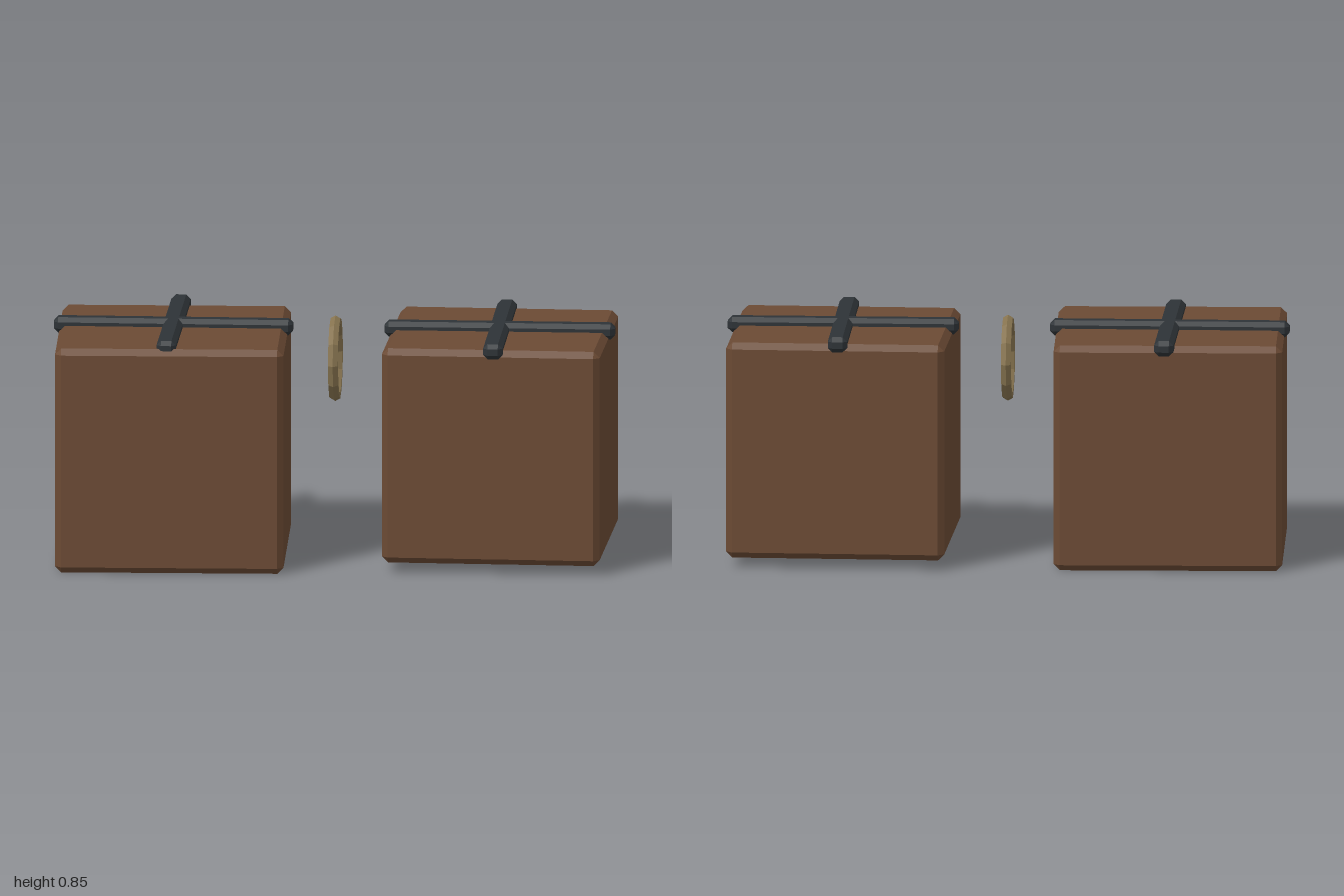
import * as THREE from 'three';
import { ConvexGeometry } from 'three/addons/geometries/ConvexGeometry.js';

const material = (color) => new THREE.MeshStandardMaterial({ color, flatShading: true });
const leather = material(0x6b4a34);
const iron = material(0x2e3337);
const brass = material(0x86734f);

// Box with every edge cut by a flat chamfer c
function chamferBox(w, h, d, c) {
  const points = [];
  for (const x of [-1, 1]) for (const y of [-1, 1]) for (const z of [-1, 1]) {
    const a = x * w / 2, b = y * h / 2, e = z * d / 2;
    points.push(
      new THREE.Vector3(a, b - y * c, e - z * c),
      new THREE.Vector3(a - x * c, b, e - z * c),
      new THREE.Vector3(a - x * c, b - y * c, e));
  }
  return new ConvexGeometry(points);
}

function addMesh(parent, name, geometry, mat, x, y, z) {
  const mesh = new THREE.Mesh(geometry, mat);
  mesh.name = name;
  mesh.position.set(x, y, z);
  parent.add(mesh);
  return mesh;
}

// Slightly turned bag with two crossed straps lying on its top
function makeBag({ name, x, z, size, turn, strap }) {
  const bag = new THREE.Group();
  bag.name = name;
  const body = addMesh(bag, 'bagBody', chamferBox(size, size, size, 0.022), leather, x, 0.812 - size / 2, z);
  body.rotation.y = turn;
  addMesh(bag, 'sideStrap', chamferBox(strap, 0.055, 0.069, 0.016), iron, x, 0.8125, -0.0125);
  addMesh(bag, 'lengthStrap', chamferBox(0.069, 0.055, strap, 0.016), iron, x, 0.8125, -0.0125);
  return bag;
}

export function createModel() {
  const model = new THREE.Group();
  model.name = 'saddlebags';
  model.add(
    makeBag({ name: 'rightBag', x: -0.575, z: 0.022, size: 0.811, turn: 0.03, strap: 0.85 }),
    makeBag({ name: 'leftBag', x: 0.585, z: -0.019, size: 0.776, turn: -0.025, strap: 0.82 }));

  // Upright ring between the bags
  const ring = addMesh(model, 'ring', new THREE.TorusGeometry(0.135, 0.02, 6, 12), brass, 0, 0.7, -0.0155);
  ring.rotation.y = Math.PI / 2;
  return model;
}
